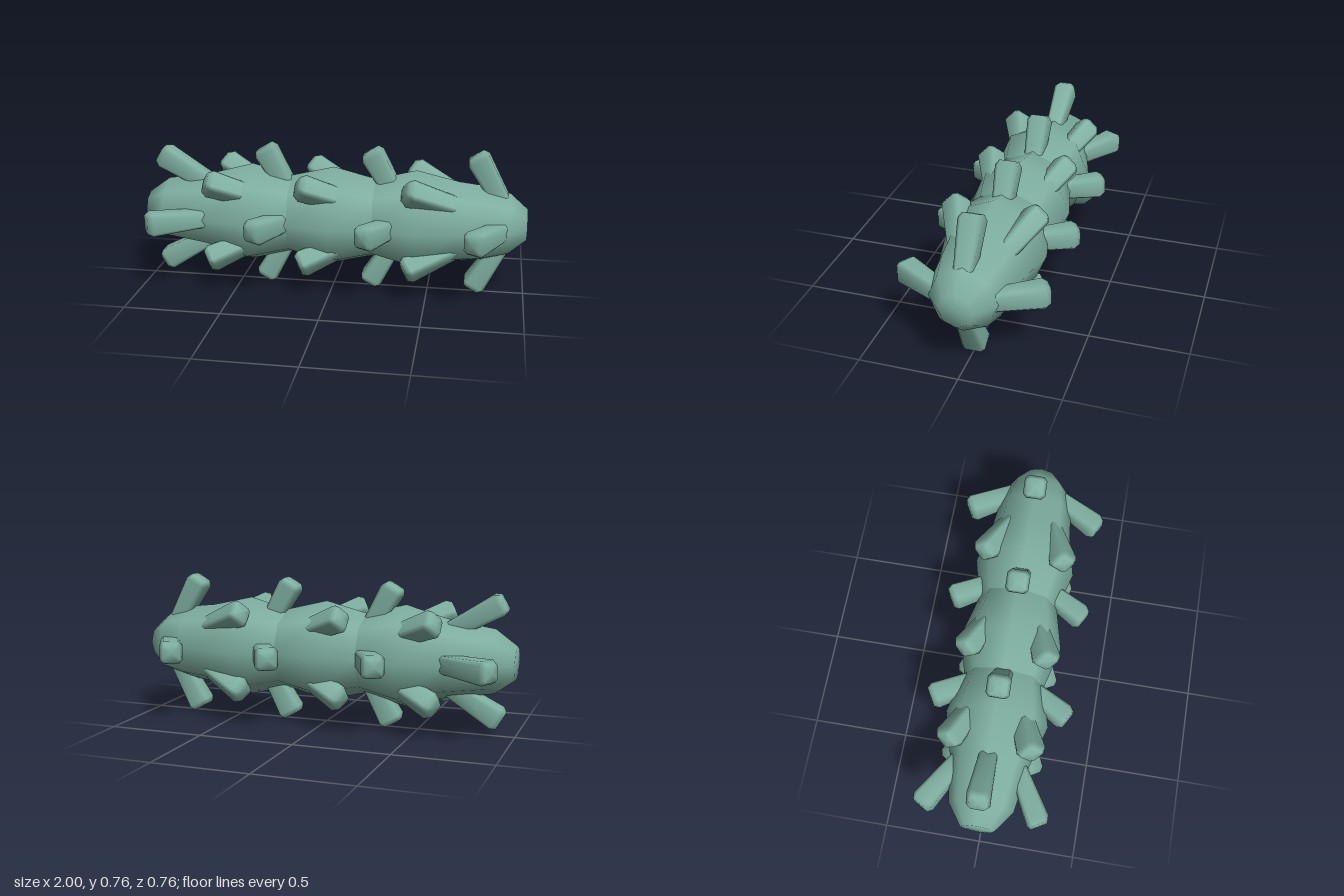
import * as THREE from 'three';

const green = new THREE.MeshStandardMaterial({ color: 0x7fb0a1 });
green.name = 'sage green';

// Eight-sided body segment turned around the x axis; points are [x, radius]
function bodySegment(points) {
  const profile = points.map(([x, r]) => new THREE.Vector2(r, x));
  return new THREE.LatheGeometry(profile, 8).rotateZ(-Math.PI / 2);
}

// Tapered peg with a chamfered square section and bevelled tip; tip at the origin, +y outward
function pegGeometry(length) {
  const rings = [[-length, 0.045], [-0.027, 0.059], [0, 0.044]];
  const pos = [], index = [];
  for (const [y, s] of rings) {
    const c = s * 0.68;
    for (const [x, z] of [[s, c], [s, -c], [c, -s], [-c, -s], [-s, -c], [-s, c], [-c, s], [c, s]]) pos.push(x, y, z);
  }
  const tip = pos.length / 3;
  pos.push(0, 0.002, 0);
  for (let j = 0; j < 8; j++) {
    const k = (j + 1) % 8;
    for (let i = 0; i < 2; i++) {
      const a = i * 8 + j, b = i * 8 + k;
      index.push(a, b, b + 8, a, b + 8, a + 8);
    }
    index.push(16 + j, 16 + k, tip);
  }
  const g = new THREE.BufferGeometry();
  g.setAttribute('position', new THREE.Float32BufferAttribute(pos, 3));
  g.setIndex(index);
  g.computeVertexNormals();
  return g;
}

export function createModel() {
  const model = new THREE.Group();
  model.name = 'peggedRod';
  model.position.y = 0.38;

  // Three bulging segments meeting at narrow waists
  const segments = {
    rightEnd: [[-1, 0], [-1, 0.085], [-0.89, 0.165], [-0.66, 0.2], [-0.43, 0.265], [-0.22, 0.21]],
    middle: [[-0.22, 0.21], [0, 0.265], [0.22, 0.21]],
    leftEnd: [[0.22, 0.21], [0.43, 0.265], [0.65, 0.215], [0.78, 0.2], [0.91, 0.165], [1, 0.085], [1, 0]],
  };
  for (const [name, points] of Object.entries(segments)) {
    const mesh = new THREE.Mesh(bodySegment(points), green);
    mesh.name = name + 'Segment';
    model.add(mesh);
  }

  // Rows of pegs leaning toward -x: [tip x, tip radius, lean in degrees]
  const straightRow = [[-0.93, 0.3, 60], [-0.37, 0.358, 30], [0.19, 0.358, 30], [0.73, 0.358, 30]];
  const diagonalRow = [[-0.635, 0.3, 60], [-0.155, 0.3, 60], [0.39, 0.3, 60]];
  const peg = pegGeometry(0.3);
  for (let i = 0; i < 8; i++) {
    const row = new THREE.Group();
    row.name = 'pegRow' + (i + 1);
    row.rotation.x = i * Math.PI / 4;
    for (const [x, r, lean] of i % 2 ? diagonalRow : straightRow) {
      const mesh = new THREE.Mesh(peg, green);
      mesh.name = 'peg';
      mesh.position.set(x, r, 0);
      mesh.rotation.z = THREE.MathUtils.degToRad(lean);
      row.add(mesh);
    }
    model.add(row);
  }

  const group = new THREE.Group();
  group.name = 'model';
  group.add(model);
  return group;
}
